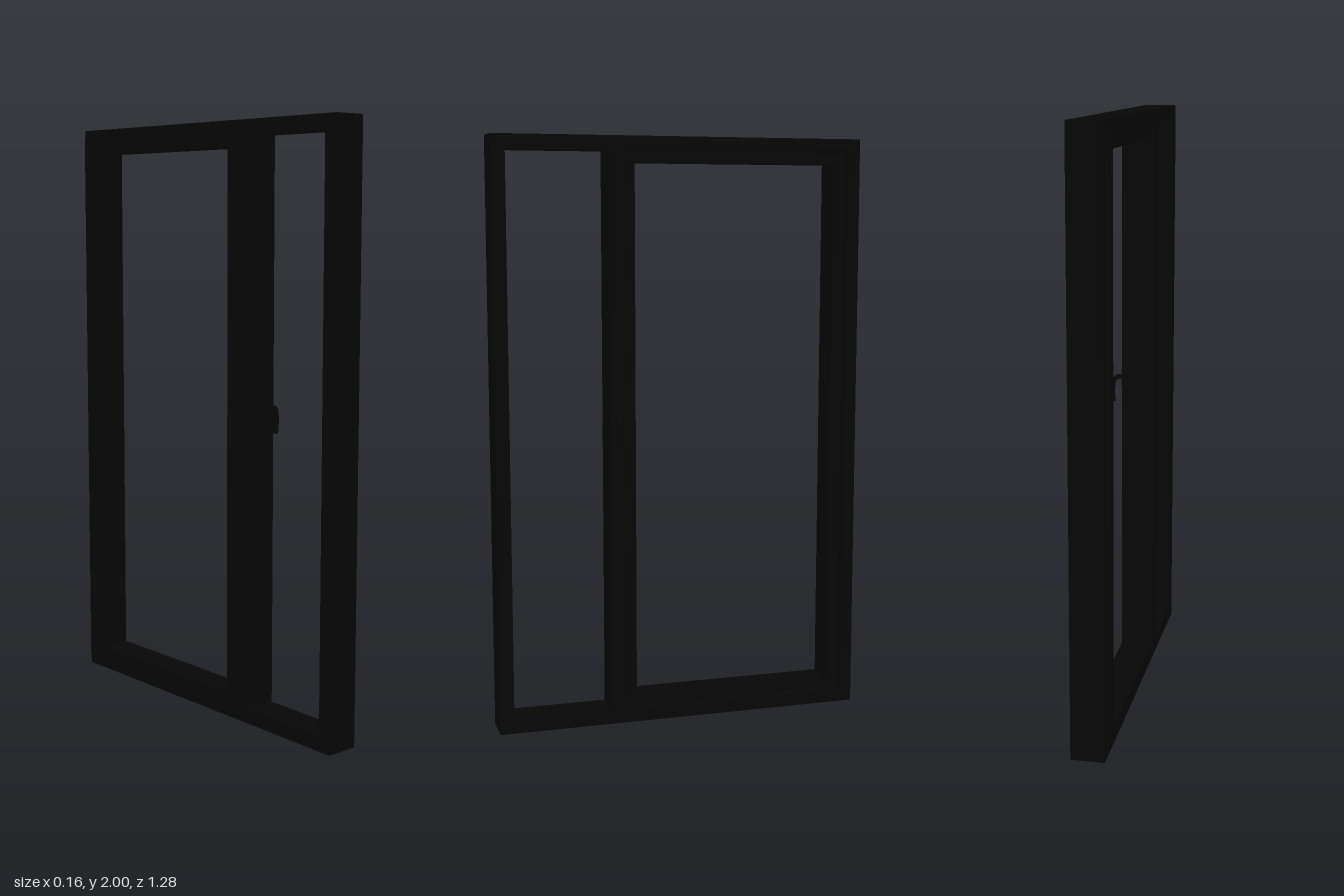
import * as THREE from 'three';

const material = new THREE.MeshStandardMaterial({ color: 0x060606 });

// Rectangle given as [z0, z1, y0, y1], drawn counter-clockwise in a plane facing +x
function trace(path, [z0, z1, y0, y1]) {
  path.moveTo(-z1, y0);
  path.lineTo(-z0, y0);
  path.lineTo(-z0, y1);
  path.lineTo(-z1, y1);
  path.closePath();
  return path;
}

// Rectangular frame with openings, running from x0 to x1
function frame(name, outer, holes, x0, x1) {
  const shape = trace(new THREE.Shape(), outer);
  for (const h of holes) shape.holes.push(trace(new THREE.Path(), h));
  const geo = new THREE.ExtrudeGeometry(shape, { depth: x1 - x0, bevelEnabled: false });
  geo.rotateY(Math.PI / 2).translate(x0, 0, 0);
  const mesh = new THREE.Mesh(geo, material);
  mesh.name = name;
  return mesh;
}

const inset = ([z0, z1, y0, y1], d) => [z0 + d, z1 - d, y0 + d, y1 - d];

function createHandle() {
  const handle = new THREE.Group();
  handle.name = 'handle';
  const add = (name, geo) => {
    const m = new THREE.Mesh(geo, material);
    m.name = name;
    handle.add(m);
  };
  // Backplate and round neck
  add('handlePlate', new THREE.BoxGeometry(0.006, 0.064, 0.018).translate(0.042, 1.06, 0));
  add('handleNeck', new THREE.CylinderGeometry(0.007, 0.007, 0.02, 16).rotateZ(Math.PI / 2).translate(0.052, 1.06, 0));
  // Lever bends outward, then drops in a tapering curve
  const s = new THREE.Shape();
  s.moveTo(0.052, 1.068);
  s.lineTo(0.06, 1.068);
  s.quadraticCurveTo(0.075, 1.065, 0.079, 1.043);
  s.quadraticCurveTo(0.083, 1.01, 0.076, 0.972);
  s.lineTo(0.071, 0.972);
  s.quadraticCurveTo(0.076, 1.01, 0.071, 1.036);
  s.quadraticCurveTo(0.068, 1.052, 0.058, 1.054);
  s.lineTo(0.052, 1.054);
  s.closePath();
  const lever = new THREE.ExtrudeGeometry(s, {
    depth: 0.012, bevelEnabled: true, bevelSize: 0.001, bevelThickness: 0.003, bevelSegments: 2, curveSegments: 10,
  });
  add('handleLever', lever.translate(0, 0, -0.006));
  handle.position.z = 0.225;
  return handle;
}

export function createModel() {
  const model = new THREE.Group();
  model.name = 'window';

  // Outer frame with a narrow fixed light and a wide casement opening
  const outer = [-0.64, 0.64, 0, 2];
  const fixedHole = [0.25, 0.592, 0.05, 1.952];
  const sashHole = [-0.598, 0.196, 0.042, 1.958];
  model.add(frame('outerFrame', outer, [fixedHole, sashHole], -0.073, 0.04));

  // Sash: body inside the frame, stepped bead and overlapping outer lip
  const sash = new THREE.Group();
  sash.name = 'sash';
  const opening = [-0.55, 0.158, 0.085, 1.915];
  const body = inset(sashHole, 0.003);
  sash.add(frame('sashBody', body, [opening], -0.077, 0.015));
  sash.add(frame('sashBead', inset(opening, -0.018), [opening], 0.015, 0.024));
  sash.add(frame('sashLip', [-0.63, 0.22, 0.025, 1.975], [opening], -0.083, -0.077));
  model.add(sash);

  // Thin seal closing the gap between sash and frame
  model.add(frame('seal', inset(sashHole, -0.002), [inset(sashHole, 0.006)], -0.04, -0.03));

  model.add(createHandle());
  return model;
}
